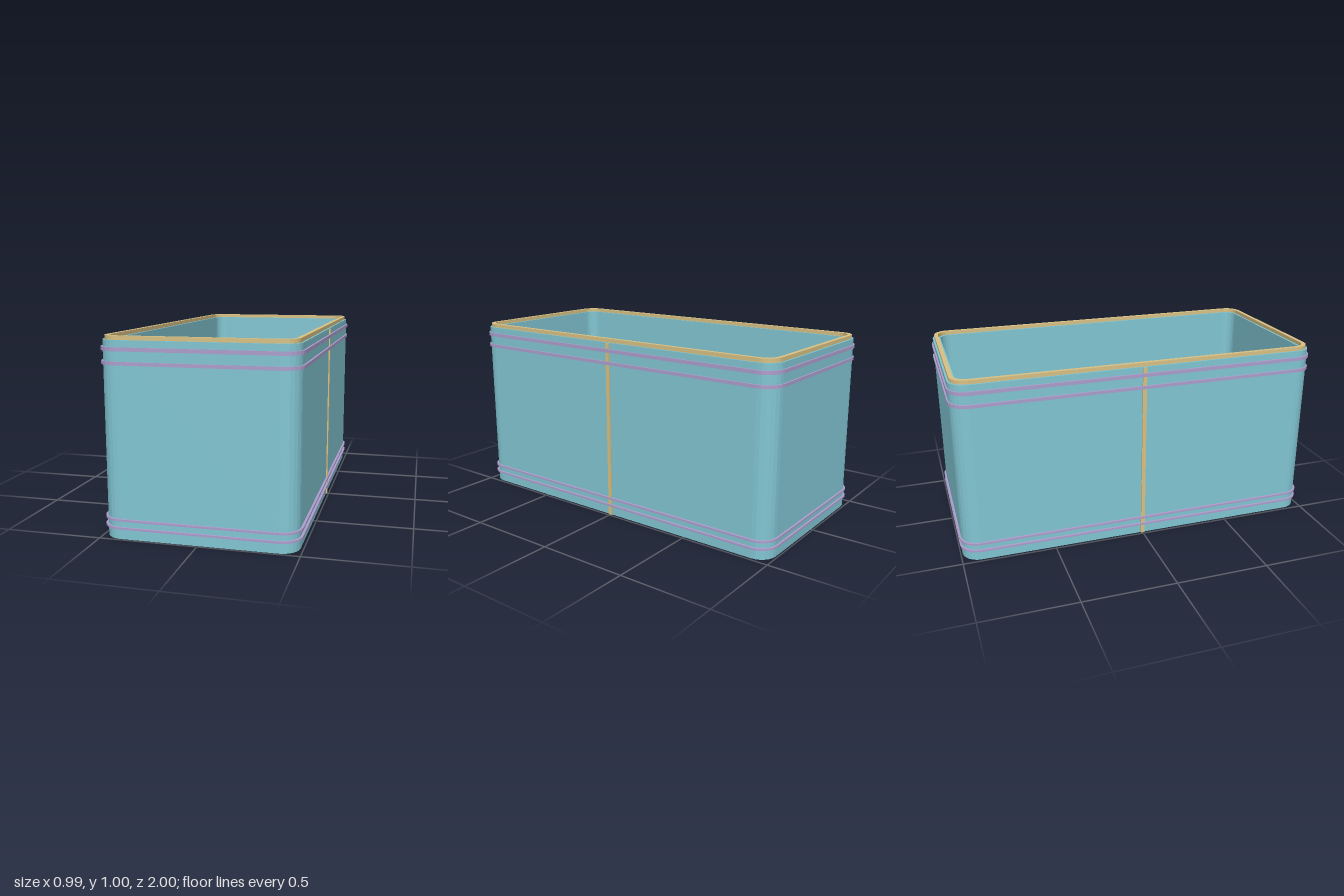
import * as THREE from 'three';

const material = (color) => new THREE.MeshStandardMaterial({ color, flatShading: true });

// Rounded rectangle outline with half sizes hx, hz and corner radius r
function outline(hx, hz, r, Type = THREE.Shape) {
  const s = new Type();
  s.absarc(hx - r, hz - r, r, 0, Math.PI / 2);
  s.absarc(-hx + r, hz - r, r, Math.PI / 2, Math.PI);
  s.absarc(-hx + r, -hz + r, r, Math.PI, Math.PI * 1.5);
  s.absarc(hx - r, -hz + r, r, Math.PI * 1.5, Math.PI * 2);
  s.closePath();
  return s;
}

// Slab or ring from height y0 to y1; inner is [hx, hz, r] of the opening
function layer(name, mat, y0, y1, outer, inner) {
  const shape = outline(...outer);
  if (inner) shape.holes.push(outline(...inner, THREE.Path));
  const geo = new THREE.ExtrudeGeometry(shape, { depth: y1 - y0, bevelEnabled: false, curveSegments: 3 });
  geo.rotateX(-Math.PI / 2).translate(0, y0, 0);
  const mesh = new THREE.Mesh(geo, mat);
  mesh.name = name;
  return mesh;
}

export function createModel() {
  const group = new THREE.Group();
  group.name = 'openBox';
  const blue = material(0x82c7d4);
  const gold = material(0xd9c284);
  const purple = material(0xad9fce);

  // Open container: floor and walls
  const body = [0.485, 0.99, 0.09];
  group.add(layer('floor', blue, 0, 0.04, body));
  group.add(layer('walls', blue, 0.04, 0.975, body, [0.442, 0.947, 0.06]));

  // Raised lip on top of the walls
  group.add(layer('rim', gold, 0.975, 0.995, [0.475, 0.98, 0.08], [0.453, 0.958, 0.065]));

  // Hoops around the top and bottom
  const hoops = [[0.052, 0.063, 0.497], [0.093, 0.104, 0.497], [0.857, 0.874, 0.495], [0.923, 0.942, 0.495]];
  hoops.forEach(([y0, y1, hx], i) => {
    group.add(layer(`hoop${i + 1}`, purple, y0, y1, [hx, hx + 0.503, 0.1], [0.48, 0.985, 0.085]));
  });

  // Vertical seam strip on each long side
  for (const side of [1, -1]) {
    const strip = new THREE.Mesh(new THREE.BoxGeometry(0.018, 0.973, 0.022), gold);
    strip.position.set(side * 0.483, 0.4865, 0);
    strip.name = side > 0 ? 'leftSeam' : 'rightSeam';
    group.add(strip);
  }
  return group;
}
